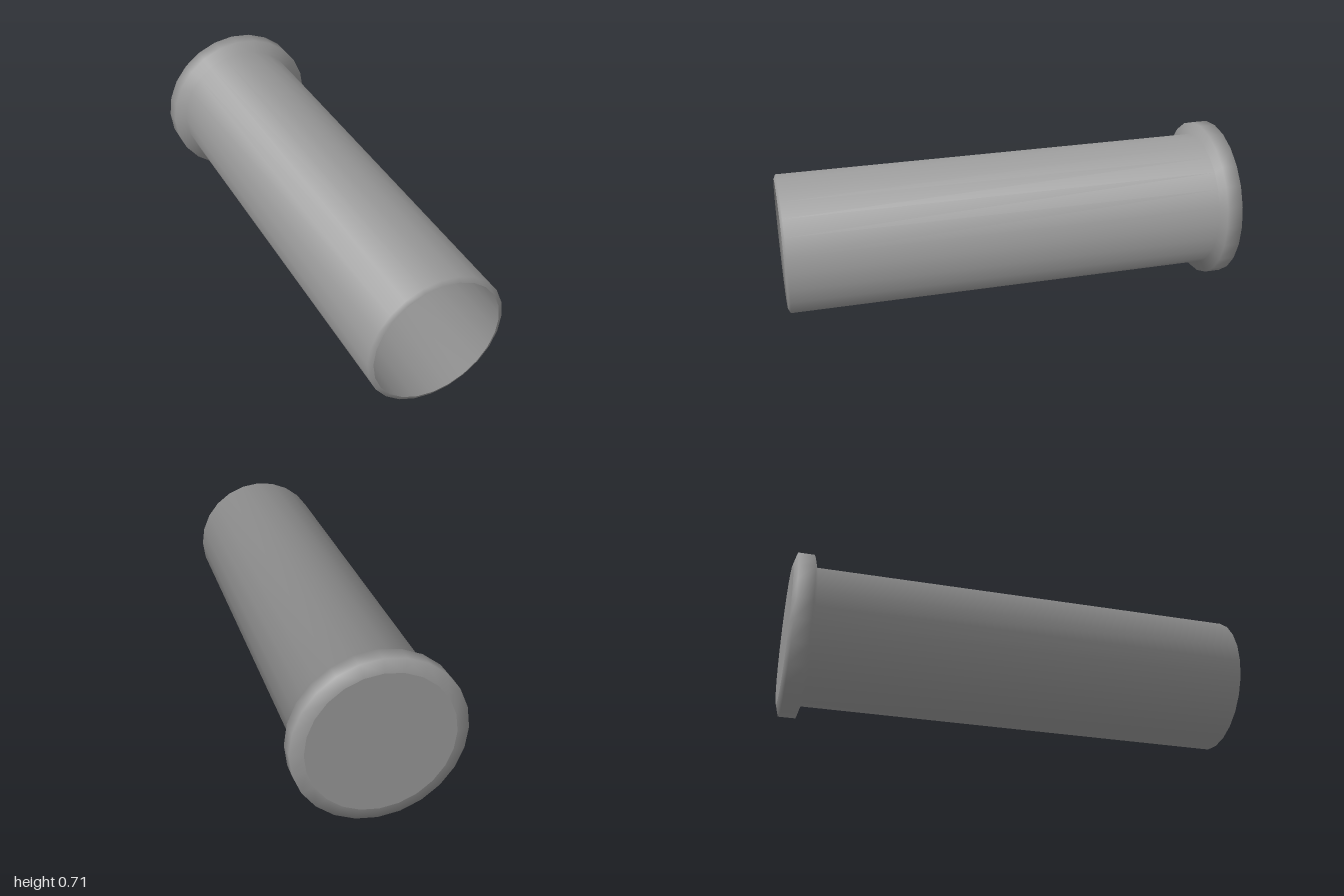
import * as THREE from 'three';

const SIDES = 24;
const RIM = 0.353;

// Shade a lathe smoothly, giving both profile segments at a corner equal weight
function blendNormals(geometry, profile) {
  const edges = profile.slice(1).map((p, j) => {
    const d = p.clone().sub(profile[j]).normalize();
    return new THREE.Vector2(d.y, -d.x);
  });
  const blended = profile.map((_, j) => {
    const before = edges[Math.max(j - 1, 0)];
    const after = edges[Math.min(j, edges.length - 1)];
    return before.clone().add(after).normalize();
  });
  const { position, normal } = geometry.attributes;
  for (let i = 0; i < position.count; i++) {
    const n = blended[i % profile.length];
    const angle = Math.atan2(position.getX(i), position.getZ(i));
    normal.setXYZ(i, n.x * Math.sin(angle), n.y, n.x * Math.cos(angle));
  }
  return geometry;
}

export function createModel() {
  const group = new THREE.Group();
  group.name = 'flangedTube';
  const material = new THREE.MeshStandardMaterial({ color: 0x999999, side: THREE.DoubleSide });

  const add = (name, geometry) => {
    const mesh = new THREE.Mesh(geometry, material);
    mesh.name = name;
    mesh.position.y = RIM;
    group.add(mesh);
  };

  // Turned shell: bevelled flange at the back, long open tube with a slightly drawn-in mouth
  const profile = [
    [0.3, -1], [RIM, -0.985], [RIM, -0.915], [0.3, -0.9],
    [0.3, 0.99], [0.28, 1],
  ].map(([r, z]) => new THREE.Vector2(r, z));
  const shell = blendNormals(new THREE.LatheGeometry(profile, SIDES), profile);
  add('tubeAndFlange', shell.rotateX(Math.PI / 2));

  // Flat disc closing the back end
  add('endCap', new THREE.CircleGeometry(0.3, SIDES).rotateY(Math.PI).translate(0, 0, -1));

  return group;
}
